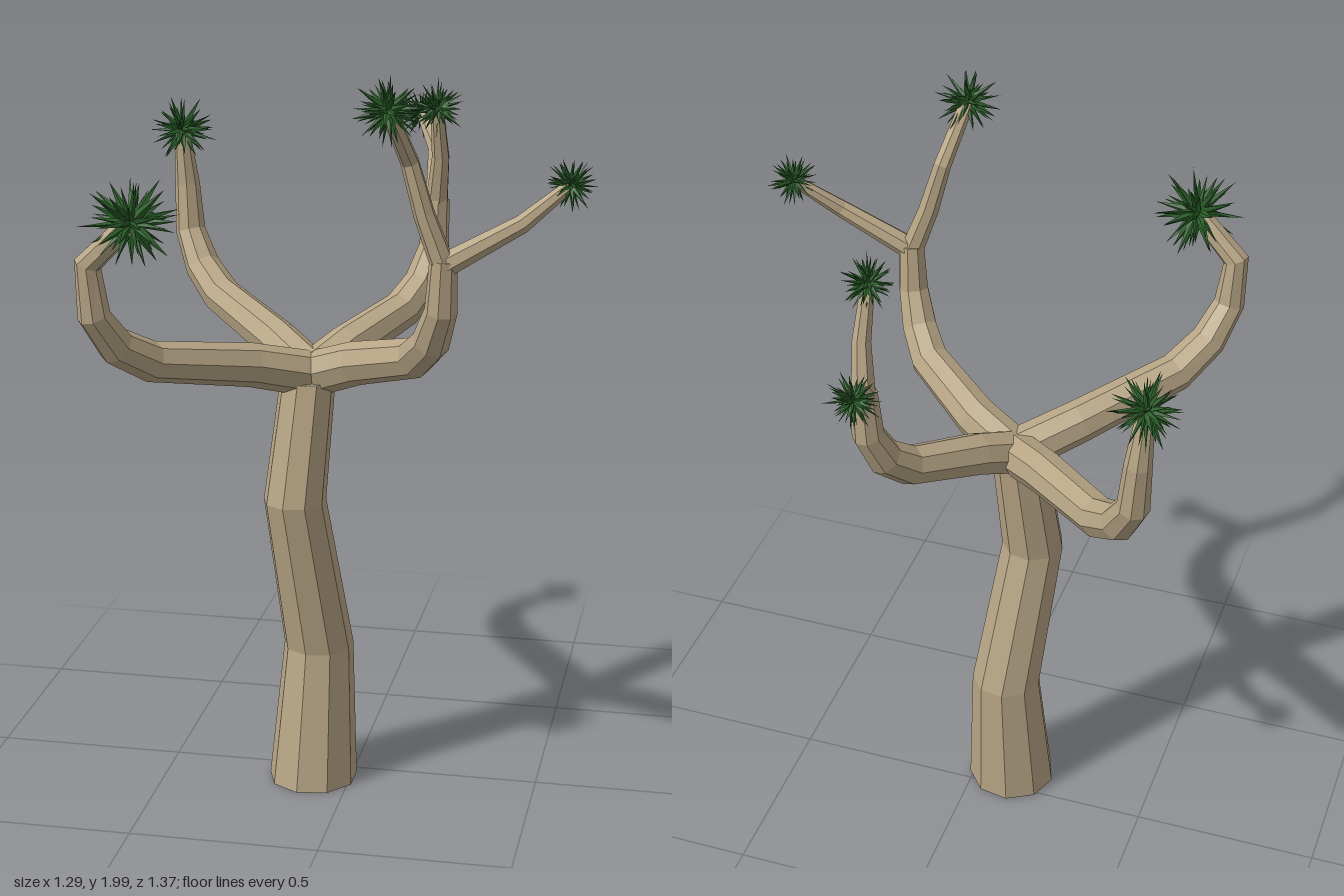
import * as THREE from 'three';
import { mergeGeometries } from 'three/addons/utils/BufferGeometryUtils.js';

const bark = new THREE.MeshStandardMaterial({ color: 0xb8a686, flatShading: true });
const leaf = new THREE.MeshStandardMaterial({ color: 0x2a5e28, flatShading: true });

// Faceted limb: points are [x, y, z, radius]; level keeps every ring horizontal
function limb(points, sides, level = false) {
  const centres = points.map(p => new THREE.Vector3(p[0], p[1], p[2]));
  const n = points.length, pos = [], index = [];
  const u = new THREE.Vector3(1, 0, 0.37).normalize();
  for (let i = 0; i < n; i++) {
    const t = new THREE.Vector3(0, 1, 0);
    if (!level) {
      t.set(0, 0, 0);
      if (i > 0) t.add(centres[i].clone().sub(centres[i - 1]).normalize());
      if (i < n - 1) t.add(centres[i + 1].clone().sub(centres[i]).normalize());
      t.normalize();
    }
    if (i === 0 && Math.abs(u.dot(t)) > 0.7) u.set(0.2, 1, 0);
    u.addScaledVector(t, -u.dot(t)).normalize();
    const v = t.clone().cross(u);
    for (let k = 0; k < sides; k++) {
      const a = k / sides * Math.PI * 2;
      const p = centres[i].clone()
        .addScaledVector(u, Math.cos(a) * points[i][3])
        .addScaledVector(v, Math.sin(a) * points[i][3]);
      pos.push(p.x, p.y, p.z);
    }
  }
  const first = n * sides, last = first + 1, end = first - sides;
  pos.push(...centres[0].toArray(), ...centres[n - 1].toArray());
  for (let k = 0; k < sides; k++) {
    const k2 = (k + 1) % sides;
    for (let i = 0; i < n - 1; i++) {
      const a = i * sides + k, b = i * sides + k2;
      index.push(a, b, b + sides, a, b + sides, a + sides);
    }
    index.push(first, k2, k, last, end + k, end + k2);
  }
  const g = new THREE.BufferGeometry();
  g.setAttribute('position', new THREE.Float32BufferAttribute(pos, 3));
  g.setIndex(index);
  g.computeVertexNormals();
  return g;
}

// Ball of pointed blades spread evenly in all directions
function tuft(radius) {
  let s = Math.round(radius * 1e5);
  const rand = () => (s = (s * 16807) % 2147483647) / 2147483647;
  const up = new THREE.Vector3(0, 1, 0), count = 54, blades = [];
  for (let i = 0; i < count; i++) {
    const y = 1 - 2 * (i + 0.5) / count, r = Math.sqrt(1 - y * y), a = i * 2.39996;
    const dir = new THREE.Vector3(
      Math.cos(a) * r + (rand() - 0.5) * 0.3,
      y + (rand() - 0.5) * 0.3,
      Math.sin(a) * r + (rand() - 0.5) * 0.3).normalize();
    const len = radius * (0.75 + 0.27 * rand());
    const blade = new THREE.ConeGeometry(radius * 0.13, len, 4, 1);
    blade.translate(0, len / 2, 0);
    blade.scale(1, 1, 0.6);
    blade.rotateY(rand() * Math.PI);
    blade.applyQuaternion(new THREE.Quaternion().setFromUnitVectors(up, dir));
    blades.push(blade);
  }
  return mergeGeometries(blades);
}

// Shared upward sweep of the main branches: [fraction outwards, height, radius]
const sweep = [
  [0, 1.14, 0.06], [0.27, 1.19, 0.057], [0.72, 1.25, 0.052],
  [0.88, 1.31, 0.048], [0.98, 1.4, 0.041], [1, 1.53, 0.034],
];

// Main branch from the crown out to (x, z), bowed sideways
function branchPath(x, z, bow) {
  const x0 = -0.1, z0 = 0.06, dx = x - x0, dz = z - z0, d = Math.hypot(dx, dz);
  return sweep.map(([f, y, r]) => {
    const side = bow * Math.sin(Math.PI * f) / d;
    return [x0 + dx * f + dz * side, y, z0 + dz * f - dx * side, r];
  });
}

// Each fork is a list of points from the branch end to its leaf tuft
const branches = [
  { name: 'frontRight', x: -0.545, z: 0.55, bow: -0.03,
    forks: [{ tuft: 0.125, via: [[-0.43, 1.64, 0.57]] }] },
  { name: 'backRight', x: -0.55, z: -0.41, bow: 0,
    forks: [{ tuft: 0.1, via: [[-0.56, 1.68, -0.4]] }] },
  { name: 'frontLeft', x: 0.285, z: 0.35, bow: 0.045, forks: [
    { tuft: 0.092, via: [[0.24, 1.64, 0.36], [0.205, 1.77, 0.37], [0.17, 1.91, 0.47]] },
    { tuft: 0.073, via: [[0.47, 1.62, 0.32], [0.58, 1.71, 0.27]] }] },
  { name: 'backLeft', x: 0.16, z: -0.335, bow: 0, forks: [
    { tuft: 0.082, via: [[0.175, 1.65, -0.3], [0.17, 1.79, -0.26]] },
    { tuft: 0.074, via: [[0.13, 1.63, -0.51], [0.07, 1.71, -0.62]] }] },
];

export function createModel() {
  const group = new THREE.Group();
  group.name = 'desertTree';
  const add = (name, geometry, material) => {
    const mesh = new THREE.Mesh(geometry, material);
    mesh.name = name;
    group.add(mesh);
    return mesh;
  };

  // Leaning trunk
  add('trunk', limb([
    [-0.102, 0, 0.067, 0.12], [-0.09, 0.38, 0.042, 0.094],
    [-0.137, 0.81, 0.117, 0.083], [-0.11, 1.13, 0.07, 0.073]], 9, true), bark);

  for (const { name, x, z, bow, forks } of branches) {
    const path = branchPath(x, z, bow);
    forks.forEach((fork, i) => {
      // Forks taper from the branch end to the tuft
      const tipRadius = fork.tuft * 0.21;
      const twig = fork.via.map((p, k) =>
        [...p, THREE.MathUtils.lerp(0.031, tipRadius, (k + 1) / fork.via.length)]);
      if (forks.length === 1) path.push(...twig);
      else add(name + 'Fork' + (i + 1), limb([[x, 1.515, z, 0.031], ...twig], 7), bark);

      // Spiky leaves on the tip
      add(name + 'LeafTuft' + (i + 1), tuft(fork.tuft), leaf)
        .position.set(...fork.via[fork.via.length - 1]);
    });
    add(name + 'Branch', limb(path, 8), bark);
  }
  return group;
}
